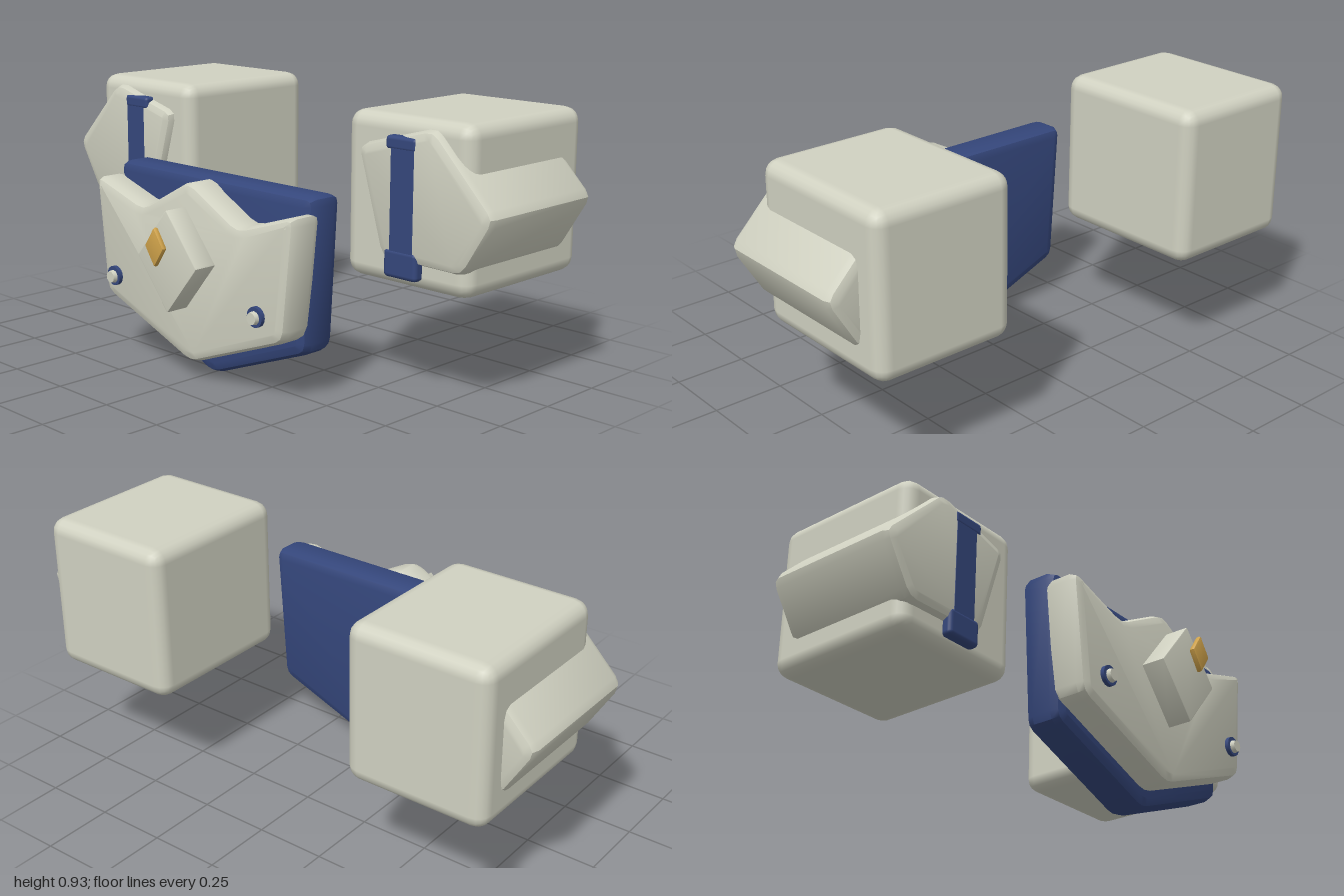
import * as THREE from 'three';
import { toCreasedNormals } from 'three/addons/utils/BufferGeometryUtils.js';
import { RoundedBoxGeometry } from 'three/addons/geometries/RoundedBoxGeometry.js';

const flat = (name, color) => {
  const m = new THREE.MeshStandardMaterial({ color });
  m.name = name;
  return m;
};

// Closed polygon whose corners are softened by a distance r along each edge
function softShape(points, r) {
  const p = points.map(([x, y]) => new THREE.Vector2(x, y));
  const shape = new THREE.Shape();
  p.forEach((c, i) => {
    const prev = p[(i + p.length - 1) % p.length];
    const next = p[(i + 1) % p.length];
    const a = c.clone().add(prev.clone().sub(c).setLength(r));
    const b = c.clone().add(next.clone().sub(c).setLength(r));
    if (i === 0) shape.moveTo(a.x, a.y);
    else shape.lineTo(a.x, a.y);
    shape.quadraticCurveTo(c.x, c.y, b.x, b.y);
  });
  shape.closePath();
  return shape;
}

// Bevelled plate filling z0..z1, with the polygon as its outer outline
function plate(points, z0, z1, bevel, corner) {
  const g = new THREE.ExtrudeGeometry(softShape(points, corner), {
    depth: z1 - z0 - 2 * bevel, curveSegments: 2,
    bevelEnabled: true, bevelSize: bevel, bevelThickness: bevel,
    bevelOffset: -bevel, bevelSegments: 2,
  });
  g.translate(0, 0, z0 + bevel);
  return toCreasedNormals(g, 0.6);
}

// Rounded box given by its limits
function block(x0, x1, y0, y1, z0, z1, r) {
  const g = new RoundedBoxGeometry(x1 - x0, y1 - y0, z1 - z0, 2, r);
  g.translate((x0 + x1) / 2, (y0 + y1) / 2, (z0 + z1) / 2);
  return g;
}

const diamond = (cy, hw, hh) => [[0, cy - hh], [hw, cy], [0, cy + hh], [-hw, cy]];

// Mirrors a right-hand half outline (ends lie on the axis)
const symmetric = (half) => [
  ...half,
  ...half.filter(([x]) => x > 0).reverse().map(([x, y]) => [-x, y]),
];

export function createModel() {
  const model = new THREE.Group();
  model.name = 'armour';
  const cream = flat('cream', 0xd0d1c1);
  const blue = flat('navy blue', 0x35477c);
  const gold = flat('gold', 0xcfa24a);

  const add = (parent, name, geometry, material) => {
    const mesh = new THREE.Mesh(geometry, material);
    mesh.name = name;
    parent.add(mesh);
    return mesh;
  };

  // Chest: blue backing, cream breastplate, raised diamond and gem
  const chest = new THREE.Group();
  chest.name = 'chest';
  model.add(chest);
  add(chest, 'backPlate', plate(
    symmetric([[0, -0.005], [0.445, 0.165], [0.475, 0.68]]), 0.16, 0.3, 0.035, 0.03), blue);
  add(chest, 'breastPlate', plate(
    symmetric([[0, 0.057], [0.445, 0.225], [0.49, 0.64], [0.235, 0.56], [0, 0.685]]),
    0.265, 0.4, 0.032, 0.035), cream);
  add(chest, 'diamondBoss', plate(diamond(0.427, 0.146, 0.174), 0.405, 0.49, 0.004, 0.006), cream);
  add(chest, 'gem', plate(diamond(0.485, 0.046, 0.067), 0.522, 0.544, 0.008, 0.006), gold);

  for (const s of [1, -1]) {
    const side = s > 0 ? 'left' : 'right';

    // Rivet: blue washer with a cream pin
    const washer = new THREE.CylinderGeometry(0.034, 0.034, 0.014, 16).rotateX(Math.PI / 2);
    add(chest, side + 'RivetWasher', washer, blue).position.set(s * 0.355, 0.302, 0.425);
    const pin = new THREE.CylinderGeometry(0.02, 0.023, 0.016, 12).rotateX(Math.PI / 2);
    add(chest, side + 'RivetPin', pin, cream).position.set(s * 0.355, 0.3, 0.439);

    // Shoulder: box, five-sided guard and blue strap with end clips
    const shoulder = new THREE.Group();
    shoulder.name = side + 'Shoulder';
    model.add(shoulder);
    const span = (a, b) => (s > 0 ? [a, b] : [-b, -a]);
    add(shoulder, 'shoulderBox', block(...span(0.383, 0.895), 0.38, 0.93, -0.54, 0.05, 0.05), cream);
    const guard = [[1.008, 0.66], [0.765, 0.908], [0.455, 0.825], [0.562, 0.47], [0.89, 0.465]];
    add(shoulder, 'shoulderGuard',
      plate(guard.map(([x, y]) => [s * x, y]), -0.45, 0.08, 0.03, 0.035), cream);
    add(shoulder, 'strap', block(...span(0.604, 0.698), 0.46, 0.862, 0.072, 0.0815, 0.002), blue);
    add(shoulder, 'upperClip', block(...span(0.582, 0.706), 0.825, 0.87, 0.04, 0.083, 0.012), blue);
    add(shoulder, 'lowerClip', block(...span(0.58, 0.716), 0.415, 0.51, 0.04, 0.084, 0.015), blue);
  }
  return model;
}
